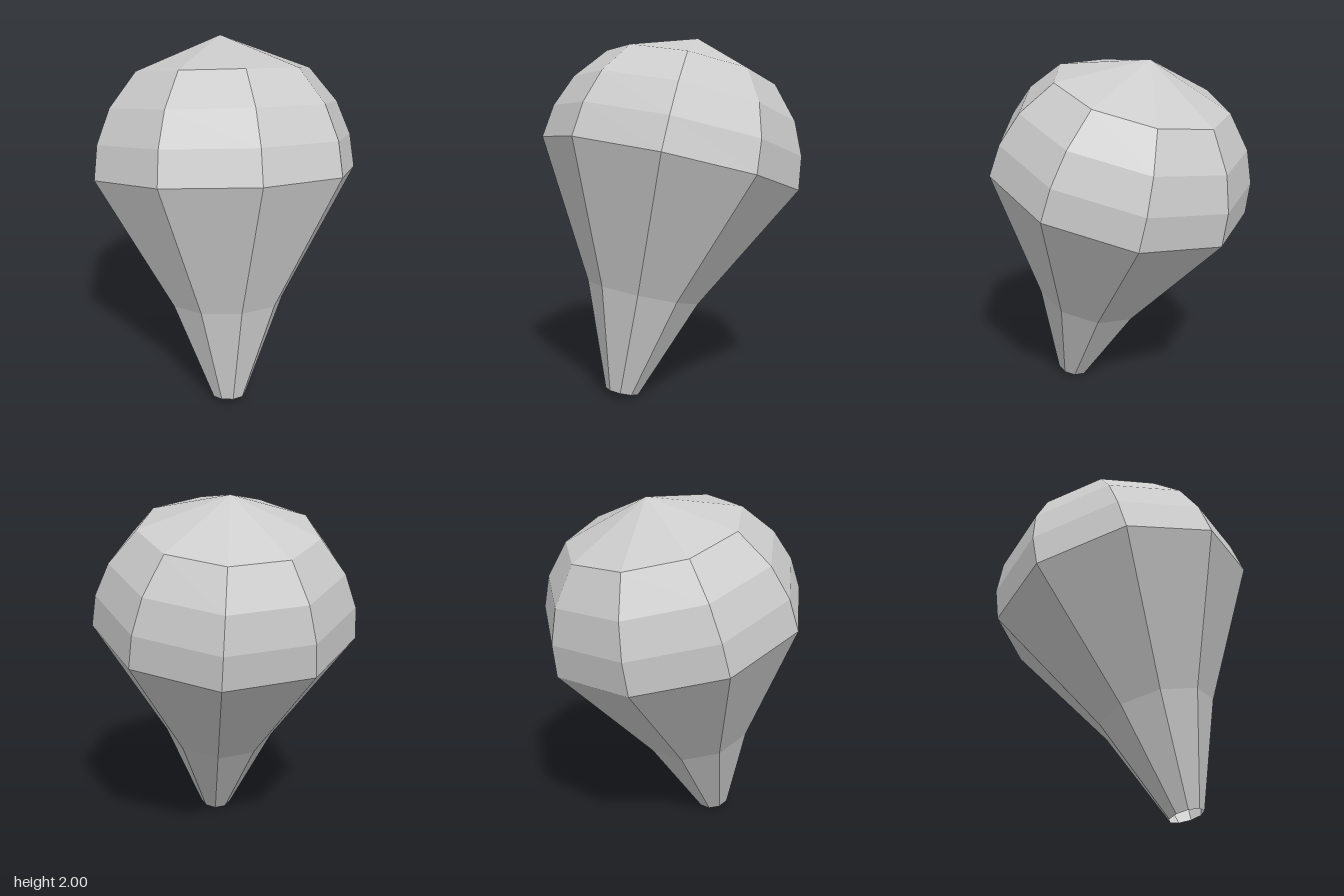
import * as THREE from 'three';

const SIDES = 9;

export function createModel() {
  const model = new THREE.Group();
  model.name = 'balloon';
  const material = new THREE.MeshStandardMaterial({
    color: 0xcccccc, flatShading: true, side: THREE.DoubleSide,
  });

  const add = (name, geometry) => {
    const flat = geometry.toNonIndexed();
    flat.computeVertexNormals();
    const mesh = new THREE.Mesh(flat, material);
    mesh.name = name;
    tilted.add(mesh);
    return mesh;
  };

  // The whole balloon leans back by 15 degrees around its open mouth
  const tilted = new THREE.Group();
  tilted.name = 'tiltedBalloon';
  tilted.position.set(-0.022, 0.025, 0.352);
  tilted.rotation.x = -Math.PI / 12;
  model.add(tilted);

  // Dome rings lie on a sphere at equal height steps
  const radius = 0.737, centre = 1.308, step = radius / 4;
  const ring = (k) => new THREE.Vector2(
    Math.sqrt(radius ** 2 - (k * step) ** 2), centre + k * step);

  // Tapered lower envelope, open at the mouth
  add('taperedSkirt', new THREE.LatheGeometry([
    new THREE.Vector2(0.095, 0),
    new THREE.Vector2(0.32, 0.573),
    ring(0),
  ], SIDES, Math.PI / 2));

  // Rounded upper envelope
  add('dome', new THREE.LatheGeometry([0, 1, 2, 3].map(ring), SIDES, Math.PI / 2));

  // Shallow pointed crown
  const crown = add('crown',
    new THREE.ConeGeometry(ring(3).x, step, SIDES, 1, true, Math.PI / 2));
  crown.position.y = ring(3).y + step / 2;

  return model;
}
